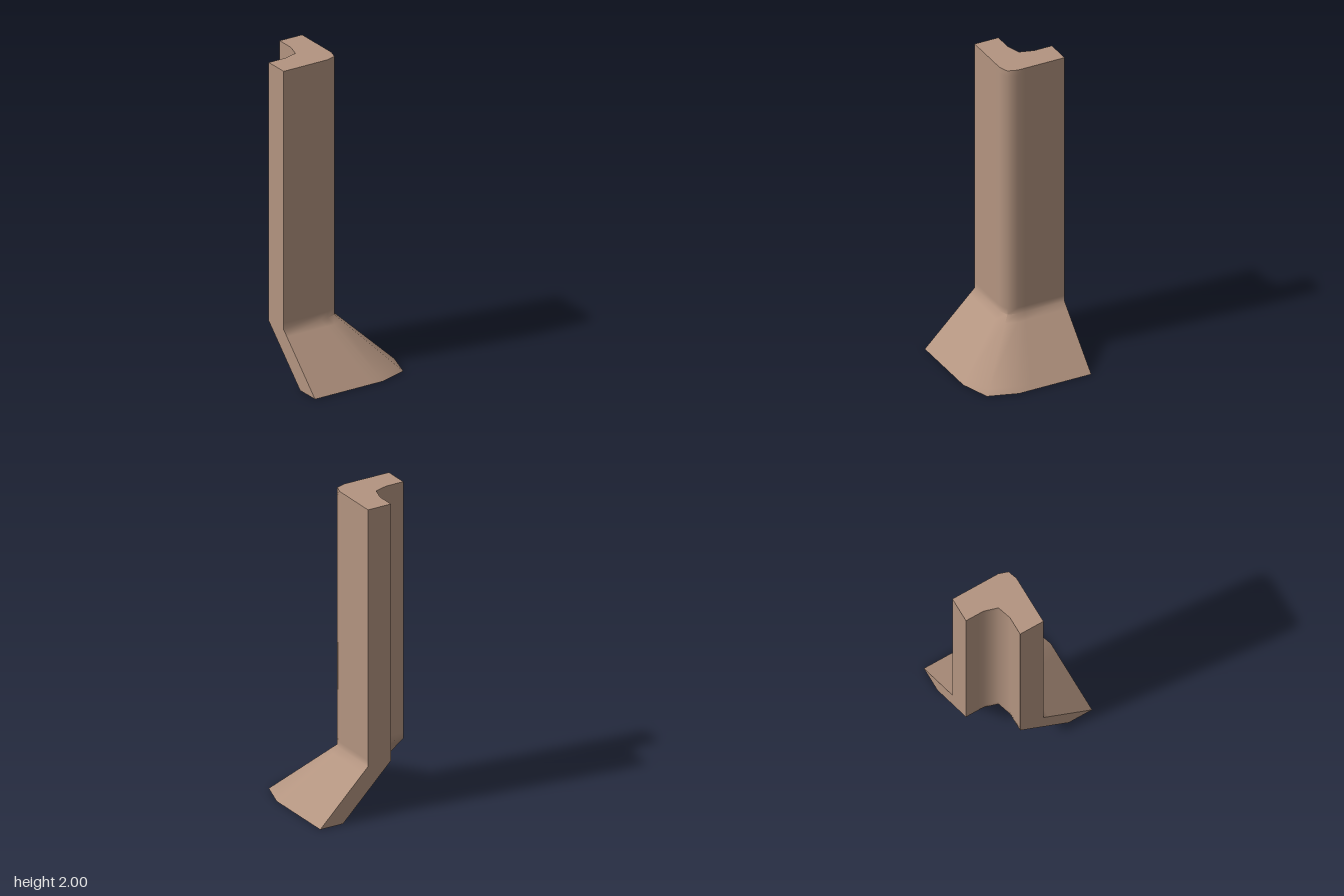
import * as THREE from 'three';
import { toCreasedNormals } from 'three/addons/utils/BufferGeometryUtils.js';

// Half of a symmetric L-shaped plan line [x, z], mirrored across the x = z diagonal
const mirrorLine = (half) => [...half, ...half.slice(0, -1).reverse().map(([x, z]) => [z, x])];

const E = -0.365;
// Plan lines of the wall (upright part) and of the foot of the flared skirt
const wallOuter = mirrorLine([[0.03, E], [0.03, -0.1], [0.03, -0.05], [0.01, 0.01]].concat([[0, 0]]).slice(0, 4).concat([[0.01, 0.01]]).slice(0, 4));
const wallInner = mirrorLine([[-0.13, E], [-0.13, -0.28], [-0.13, -0.245], [-0.157, -0.157]]);
const footOuter = mirrorLine([[0.365, E], [0.365, 0.04], [0.365, 0.12], [0.305, 0.305]]);
const footInner = mirrorLine([[0.205, E], [0.205, -0.02], [0.205, 0.03], [0.155, 0.155]]);

const KINK = 0.33;
// Extra levels beside the bend keep its soft shading narrow
const LEVELS = [2, 1.96, KINK + 0.04, KINK, KINK - 0.035, 0.03, 0];

function cornerGeometry() {
  const top = [...wallOuter, ...wallInner.slice().reverse()];
  const foot = [...footOuter, ...footInner.slice().reverse()];
  const n = top.length;
  const positions = [];
  const index = [];
  const quad = (a, b, c, d) => index.push(a, b, c, a, c, d);

  // Rings: straight wall above the bend, flaring out below it
  for (const y of LEVELS) {
    const t = Math.max(0, 1 - y / KINK);
    top.forEach(([x, z], i) => positions.push(
      THREE.MathUtils.lerp(x, foot[i][0], t), y, THREE.MathUtils.lerp(z, foot[i][1], t)));
  }
  // Outer faces, inner faces and both ends
  for (let r = 0; r < LEVELS.length - 1; r++) {
    for (let i = 0; i < n; i++) {
      const j = (i + 1) % n;
      quad(r * n + i, r * n + j, (r + 1) * n + j, (r + 1) * n + i);
    }
  }
  // Top and bottom caps, bridging outer line to inner line
  const last = (LEVELS.length - 1) * n;
  for (let i = 0; i < n / 2 - 1; i++) {
    const k = n - 1 - i;
    quad(i, k, k - 1, i + 1);
    quad(last + i, last + i + 1, last + k - 1, last + k);
  }
  const geometry = new THREE.BufferGeometry();
  geometry.setAttribute('position', new THREE.Float32BufferAttribute(positions, 3));
  geometry.setIndex(index);
  return toCreasedNormals(geometry, THREE.MathUtils.degToRad(62));
}

export function createModel() {
  const group = new THREE.Group();
  group.name = 'cornerTrim';
  const wall = new THREE.Mesh(cornerGeometry(), new THREE.MeshStandardMaterial({ color: 0xb39480 }));
  wall.name = 'cornerWallWithFlaredSkirt';
  group.add(wall);
  return group;
}
